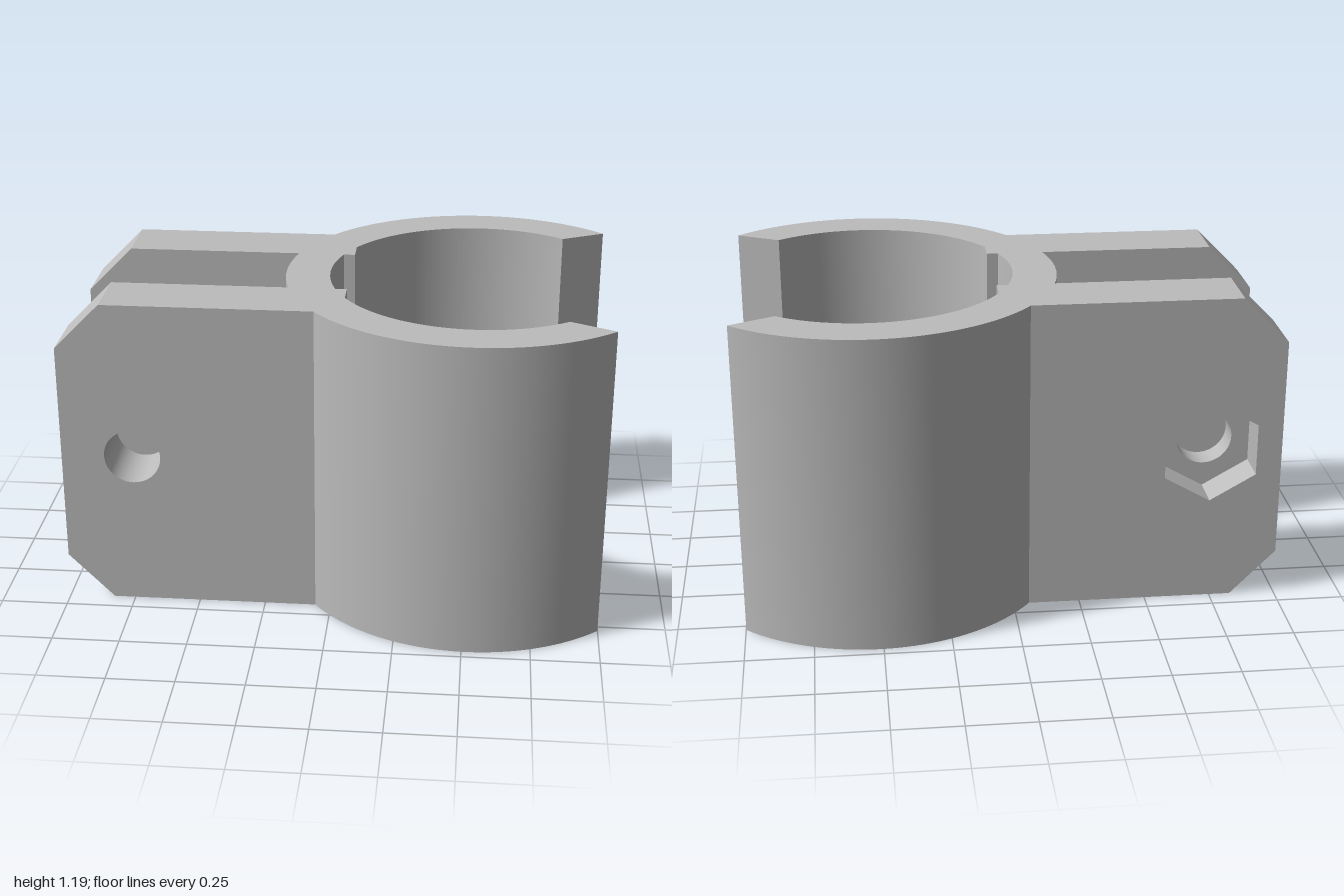
import * as THREE from 'three';
import { toCreasedNormals } from 'three/addons/utils/BufferGeometryUtils.js';

const H = 1.19;                          // overall height
const CX = 0.516, R = 0.716, r = 0.552;  // ring centre and radii
const Z0 = 0.19, Z1 = 0.427;             // inner and outer faces of each tab
const ROOT = -0.25, STEP = 0.04;         // where tabs join the body, where they end inside the ring
const HOLE_X = -0.735, HOLE_R = 0.105, HEX_R = 0.198;

// Plan of the open ring with the tab roots and the small inner steps
function clampPlan() {
  const outEnd = THREE.MathUtils.degToRad(47.5), inEnd = THREE.MathUtils.degToRad(54.2);
  const outTab = Math.PI - Math.asin(Z1 / R), outSlot = Math.PI - Math.asin(Z0 / R);
  const inStep = Math.acos((STEP - CX) / r), inSlot = Math.PI - Math.asin(Z0 / r);
  const s = new THREE.Shape();
  s.absarc(CX, 0, R, outEnd, outTab, false);
  s.lineTo(ROOT, Z1);
  s.lineTo(ROOT, Z0);
  s.absarc(CX, 0, R, outSlot, 2 * Math.PI - outSlot, false);
  s.lineTo(ROOT, -Z0);
  s.lineTo(ROOT, -Z1);
  s.absarc(CX, 0, R, 2 * Math.PI - outTab, 2 * Math.PI - outEnd, false);
  s.absarc(CX, 0, r, 2 * Math.PI - inEnd, 2 * Math.PI - inStep, true);
  s.lineTo(STEP, -Z0);
  s.absarc(CX, 0, r, 2 * Math.PI - inSlot, inSlot, true);
  s.lineTo(STEP, Z0);
  s.absarc(CX, 0, r, inStep, inEnd, true);
  s.closePath();
  return s;
}

// Side outline of a tab, chamfered at its free corners, with a hole of any number of sides
function tabOutline(sides, radius) {
  const s = new THREE.Shape([
    [ROOT, 0], [ROOT, H], [-0.83, H], [-1, H - 0.173], [-1, 0.173], [-0.83, 0],
  ].map(([x, y]) => new THREE.Vector2(x, y)));
  const hole = [];
  for (let i = 0; i < sides; i++) {
    const a = Math.PI / 2 + (i / sides) * Math.PI * 2;
    hole.push(new THREE.Vector2(HOLE_X + radius * Math.cos(a), H / 2 + radius * Math.sin(a)));
  }
  s.holes.push(new THREE.Path(hole));
  return s;
}

function extrude(shape, depth) {
  return new THREE.ExtrudeGeometry(shape, { depth, bevelEnabled: false, curveSegments: 48 });
}

export function createModel() {
  const group = new THREE.Group();
  const grey = new THREE.MeshStandardMaterial({ color: 0xbcbcbc });
  grey.name = 'grey';

  const add = (name, geometry, z = 0) => {
    const mesh = new THREE.Mesh(toCreasedNormals(geometry, 0.4), grey);
    mesh.name = name;
    mesh.position.z = z;
    group.add(mesh);
  };

  add('clampRing', extrude(clampPlan(), H).rotateX(-Math.PI / 2));

  // Front tab: plain bolt hole right through
  add('frontTab', extrude(tabOutline(48, HOLE_R), Z1 - Z0), Z0);

  // Back tab: bolt hole in the inner layer, hexagonal nut pocket in the outer layer
  const pocket = 0.14;
  add('backTabInner', extrude(tabOutline(48, HOLE_R), Z1 - Z0 - pocket), -Z1 + pocket);
  add('backTabNutPocket', extrude(tabOutline(6, HEX_R), pocket), -Z1);

  return group;
}
